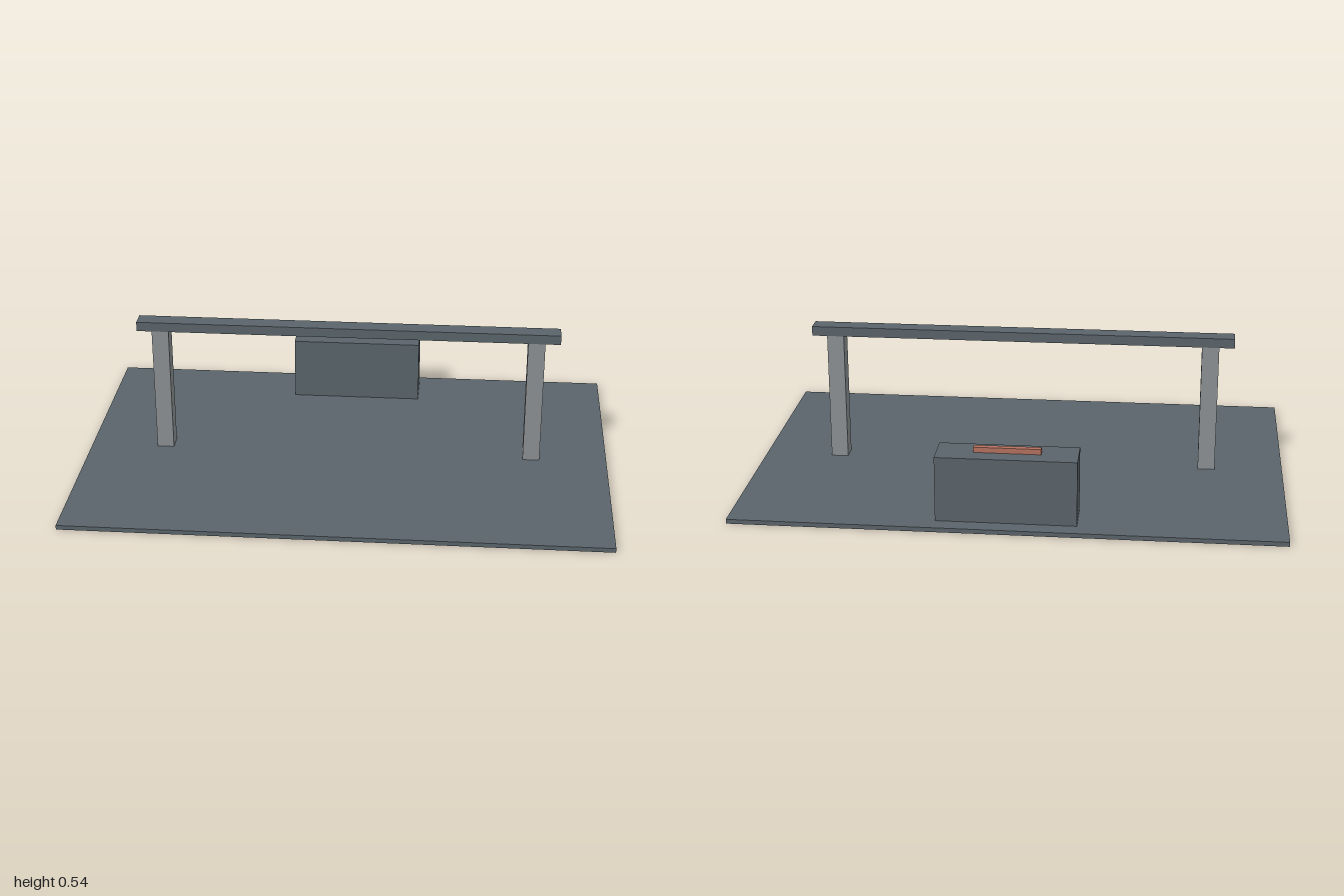
import * as THREE from 'three';

const flat = (name, color) => {
  const material = new THREE.MeshStandardMaterial({ color });
  material.name = name;
  return material;
};

export function createModel() {
  const slate = flat('slate', 0x5a646b);
  const concrete = flat('concrete', 0x8c9194);
  const copper = flat('copper', 0xb5715f);
  const model = new THREE.Group();
  model.name = 'gatewayModel';

  // Box from its centre on x and z, and its bottom and top heights
  const addBox = (name, material, [x, z], [width, depth], [bottom, top]) => {
    const mesh = new THREE.Mesh(new THREE.BoxGeometry(width, top - bottom, depth), material);
    mesh.name = name;
    mesh.position.set(x, (bottom + top) / 2, z);
    model.add(mesh);
  };

  // Ground slab
  addBox('base', slate, [0, 0], [2, 1.333], [0, 0.0167]);

  // Gateway: two posts running up into a crossbeam
  for (const [side, s] of [['left', 1], ['right', -1]]) {
    addBox(`${side}Post`, concrete, [s * 0.711, 0], [0.064, 0.066], [0.001, 0.535]);
  }
  addBox('crossbeam', slate, [0, 0], [1.6, 0.067], [0.507, 0.543]);

  // Block at the back with a thin strip on top
  addBox('block', slate, [0, -0.533], [0.508, 0.144], [0.01, 0.26]);
  addBox('topStrip', copper, [0, -0.533], [0.242, 0.022], [0.255, 0.28]);

  return model;
}
